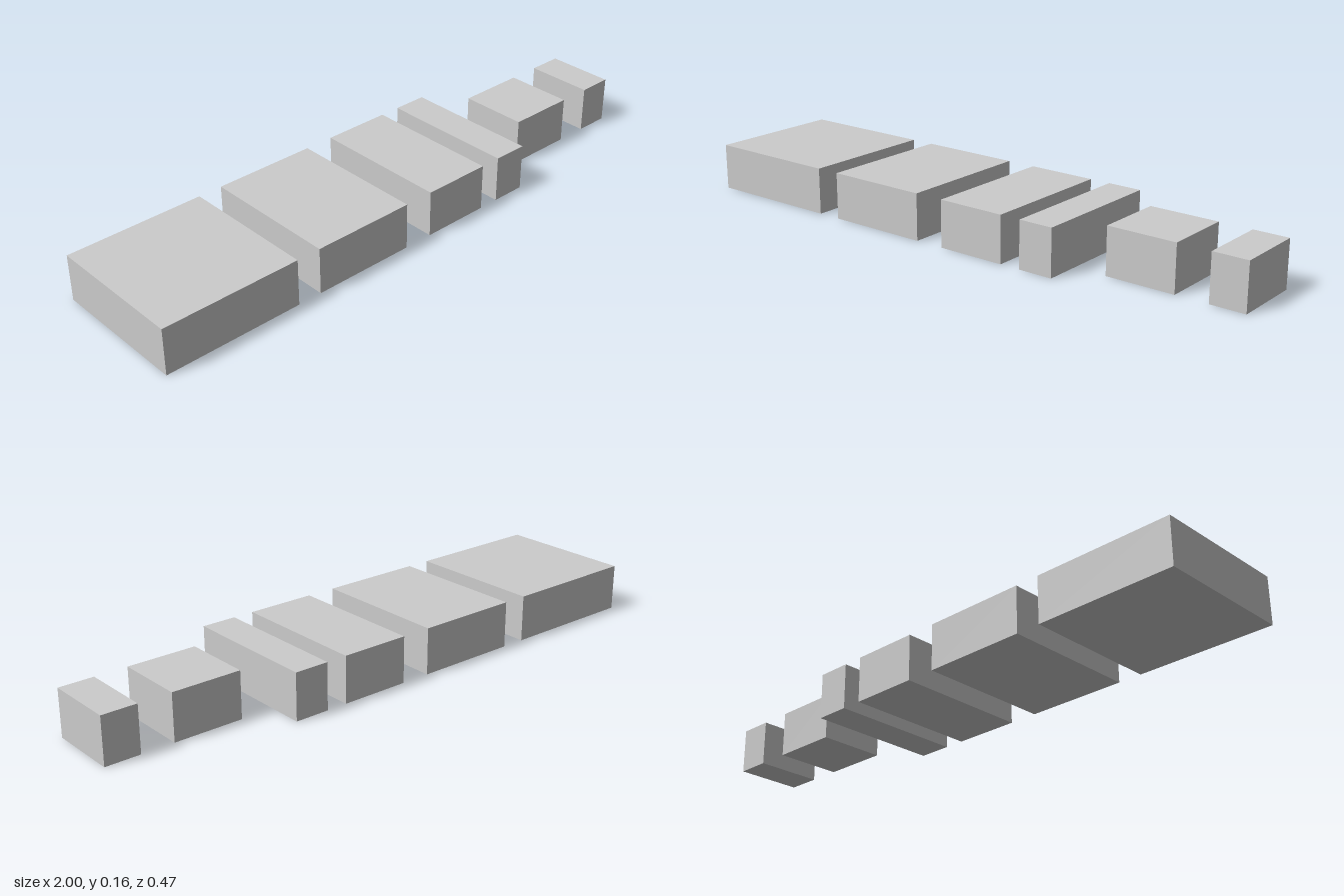
import * as THREE from 'three';

const UNIT = 0.1172;   // one grid module of the block set
const HEIGHT = 0.157;

// name, left edge x, width and depth in modules
const BLOCKS = [
  ['blockFourByFour', -1, 4, 4],
  ['blockThreeByFour', -0.449, 3, 4],
  ['blockTwoByFour', 0.003, 2, 4],
  ['blockOneByFour', 0.308, 1, 4],
  ['blockTwoByTwo', 0.538, 2, 2],
  ['blockOneByTwo', 1 - UNIT, 1, 2],
];

export function createModel() {
  const group = new THREE.Group();
  group.name = 'blockSet';
  const material = new THREE.MeshStandardMaterial({ color: 0xcccccc, flatShading: true });

  // Row of plain blocks, all standing on the ground
  for (const [name, x, w, d] of BLOCKS) {
    const block = new THREE.Mesh(new THREE.BoxGeometry(w * UNIT, HEIGHT, d * UNIT), material);
    block.name = name;
    block.position.set(x + (w * UNIT) / 2, HEIGHT / 2, 0);
    group.add(block);
  }
  return group;
}
